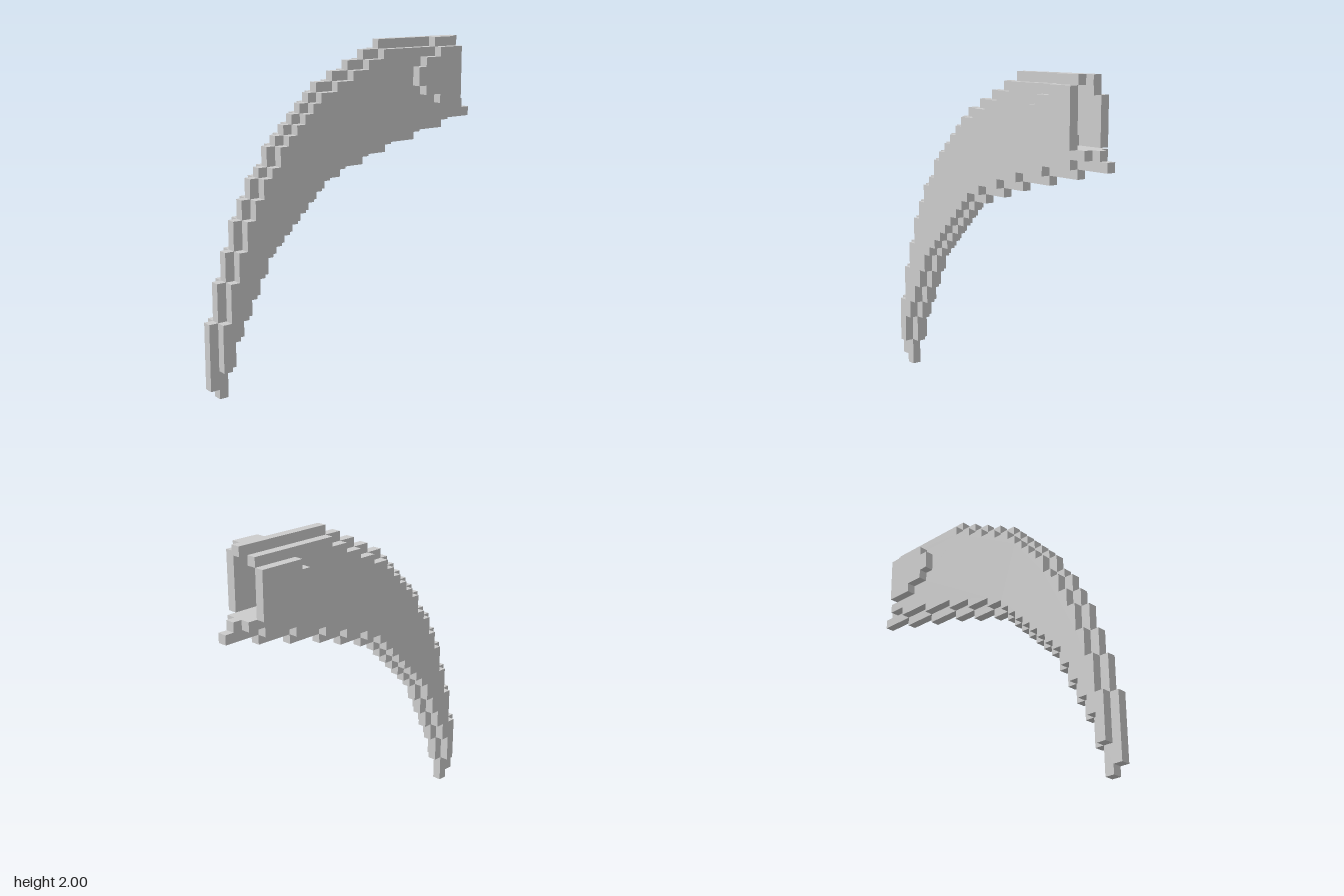
import * as THREE from 'three';

const U = 2 / 35; // edge of one cube; the body is 35 cubes tall and 34 deep
const DEPTH = 34;

// First cube and end of each row of the middle slice, from bottom to top, counted from the front
const STARTS = [1, 0, 0, 0, 0, 0, 0, 0, 1, 1, 1, 1, 2, 2, 2, 3, 3, 3, 4, 4, 5, 5, 6, 7, 7, 8, 9,
  10, 11, 12, 13, 15, 17, 19, 21];
const ENDS = [2, 2, 2, 3, 3, 3, 4, 4, 5, 5, 6, 6, 7, 7, 8, 9, 10, 11, 12, 13, 14, 16, 19, 22, 26,
  30, 34, 33, 32, 32, 32, 32, 32, 32, 32];

// Round socket open to the back: where it begins in each row
const SOCKET_ROW = 28;
const SOCKET = [28, 26, 25, 25, 26, 28];
const SOCKET_END = 31;

const material = new THREE.MeshStandardMaterial({ color: 0xcccccc, flatShading: true });

// One slice, one cube thick, with a stepped outline made from rows of [row, start, end]
function slice(name, rows, column) {
  const points = [];
  const add = (k, row) => points.push(new THREE.Vector2((k - DEPTH / 2) * U, row * U));
  for (const [row, start] of rows) {
    add(start, row);
    add(start, row + 1);
  }
  for (const [row, , end] of [...rows].reverse()) {
    add(end, row + 1);
    add(end, row);
  }
  // drop repeated and straight-through corners
  const corners = points.filter((p, i) => {
    const a = points[(i + points.length - 1) % points.length];
    const b = points[(i + 1) % points.length];
    return Math.abs((p.x - a.x) * (b.y - p.y) - (p.y - a.y) * (b.x - p.x)) > 1e-8;
  });
  const geometry = new THREE.ExtrudeGeometry(new THREE.Shape(corners), { depth: U, bevelEnabled: false });
  geometry.rotateY(Math.PI / 2);
  geometry.translate((column - 0.5) * U, 0, 0);
  const mesh = new THREE.Mesh(geometry, material);
  mesh.name = name;
  return mesh;
}

// Cut the socket out of a slice
const hollow = (rows, height) => rows.map(([row, start, end]) => {
  const i = row - SOCKET_ROW;
  return [row, start, i >= 0 && i < height ? SOCKET[i] : end];
});

export function createModel() {
  const group = new THREE.Group();
  group.name = 'curvedHorn';

  const core = STARTS.map((start, row) => [row, start, ENDS[row]]);

  // Side slices are the middle slice shrunk by one cube all round
  const sides = [];
  for (let r = 1; r < core.length - 1; r++) {
    const start = Math.max(STARTS[r] + 1, STARTS[r - 1], STARTS[r + 1]);
    const end = Math.min(ENDS[r] - 1, ENDS[r - 1], ENDS[r + 1]);
    if (end > start) sides.push([r, start, end]);
  }

  group.add(slice('middleSlice', hollow(core, 6), 0));

  // The socket is one row taller on the left
  for (const [label, column, height] of [['left', 1, 6], ['right', -1, 5]]) {
    group.add(slice(label + 'Slice', hollow(sides, height), column));
    const plate = SOCKET.slice(0, height).map((start, i) => [SOCKET_ROW + i, start, SOCKET_END]);
    group.add(slice(label + 'SocketPlate', plate, column * 2));
  }

  // Cap over the taller left side of the socket
  group.add(slice('socketCap', [[34, 28, SOCKET_END]], 1));

  return group;
}
